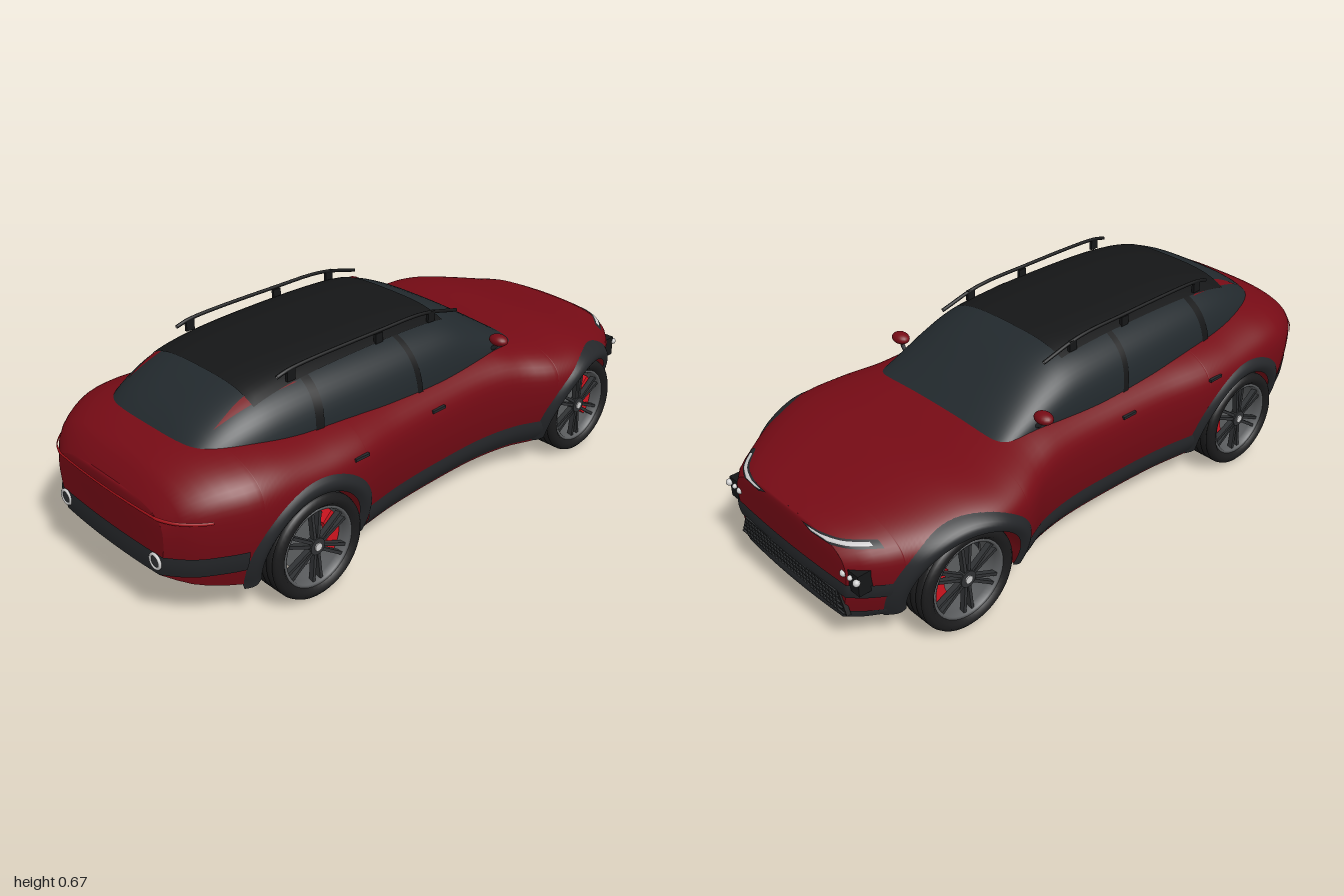
import * as THREE from 'three';

const mat = (color, side = THREE.DoubleSide) => new THREE.MeshStandardMaterial({ color, side });
const RED = mat(0x760b15), GLASS = mat(0x22292d), ROOF = mat(0x151617), TRIM = mat(0x25272a),
  TYRE = mat(0x1b1b1c), RIM = mat(0x5c5e60), DARK = mat(0x303234), SILVER = mat(0xcccccc),
  CALIPER = mat(0xd0141f), LAMP = mat(0xa01018);

// Smooth curve through [x, value] pairs
function curve(p) {
  const slope = i => {
    const a = p[Math.max(i - 1, 0)], b = p[Math.min(i + 1, p.length - 1)];
    return (b[1] - a[1]) / (b[0] - a[0]);
  };
  return x => {
    x = Math.min(Math.max(x, p[0][0]), p[p.length - 1][0]);
    let i = 0;
    while (i < p.length - 2 && x > p[i + 1][0]) i++;
    const h = p[i + 1][0] - p[i][0], t = (x - p[i][0]) / h, q = 1 - t;
    return p[i][1] * (1 + 2 * t) * q * q + p[i + 1][1] * t * t * (3 - 2 * t)
      + h * (slope(i) * t * q * q - slope(i + 1) * t * t * q);
  };
}

// Grid surface from a rule f(u, v) -> [x, y, z]; u may be a list of stations
function patch(us, nv, f) {
  if (typeof us === 'number') us = Array.from({ length: us + 1 }, (_, i) => i / us);
  const pos = [], idx = [], w = nv + 1;
  us.forEach((u, i) => {
    for (let j = 0; j <= nv; j++) {
      pos.push(...f(u, j / nv));
      if (i && j) {
        const a = (i - 1) * w + j - 1, b = i * w + j - 1;
        idx.push(a, b, a + 1, b, b + 1, a + 1);
      }
    }
  });
  const g = new THREE.BufferGeometry();
  g.setAttribute('position', new THREE.Float32BufferAttribute(pos, 3));
  g.setIndex(idx);
  g.computeVertexNormals();
  return g;
}

// Copy of a geometry reflected across z = 0
function mirrored(geo) {
  const g = geo.index ? geo.toNonIndexed() : geo.clone();
  g.scale(1, 1, -1);
  const n = g.attributes.position.count;
  g.setIndex(Array.from({ length: n }, (_, i) => i % 3 === 0 ? i : i % 3 === 1 ? i + 1 : i - 1));
  return g;
}

const END = 0.985, WY = 0.17, ARCH = 0.19, AXLES = [-0.566, 0.668];
const bodyW = curve([[-0.985, 0.26], [-0.95, 0.31], [-0.9, 0.355], [-0.78, 0.415], [-0.6, 0.43], [-0.4, 0.43],
  [-0.2, 0.4], [0, 0.387], [0.2, 0.387], [0.35, 0.412], [0.46, 0.457], [0.58, 0.475], [0.7, 0.455], [0.8, 0.415],
  [0.89, 0.36], [0.95, 0.315], [0.985, 0.275]]);
const deck = curve([[-0.985, 0.41], [-0.96, 0.455], [-0.85, 0.51], [-0.7, 0.525], [-0.5, 0.51], [0, 0.505],
  [0.28, 0.505], [0.42, 0.478], [0.52, 0.465], [0.66, 0.456], [0.8, 0.425], [0.9, 0.402], [0.96, 0.39], [0.985, 0.378]]);
const sill = curve([[-0.985, 0.185], [-0.9, 0.15], [-0.72, 0.115], [-0.5, 0.11], [0.85, 0.11], [0.985, 0.13]]);

// Body half width at height fraction s, and at (x, y)
const N = 2.9;
const profile = s => s > 0.6 ? Math.pow(Math.max(0, 1 - Math.pow((s - 0.6) / 0.4, N)), 1 / N)
  : 1 - 0.13 * Math.pow((0.6 - s) / 0.6, 1.8);
const sideZ = (x, y) => bodyW(x) * profile(Math.min(1, Math.max(0, (y - sill(x)) / (deck(x) - sill(x)))));

// Lower edge of the side panels, rising over the wheels
function lowerEdge(x) {
  for (const c of AXLES) {
    const d = Math.abs(x - c);
    if (d <= ARCH + 1e-6) return WY + Math.sqrt(Math.max(0, ARCH * ARCH - d * d));
  }
  return sill(x);
}

const CAB = 0.42, CN = 3.1;
const cabTop = curve([[-0.87, 0.48], [-0.8, 0.545], [-0.7, 0.602], [-0.6, 0.633], [-0.45, 0.65], [-0.2, 0.655],
  [0, 0.652], [0.14, 0.638], [0.24, 0.598], [0.34, 0.538], [0.44, 0.472]]);
const cabW = curve([[-0.87, 0.225], [-0.75, 0.275], [-0.6, 0.308], [-0.3, 0.328], [0, 0.332], [0.2, 0.325], [0.44, 0.31]]);
const cabZ = (x, y) => cabW(x) * Math.pow(Math.max(0, 1 - Math.pow((y - CAB) / (cabTop(x) - CAB), CN)), 1 / CN);
const cabY = (x, z) => CAB + (cabTop(x) - CAB) * Math.pow(Math.max(0, 1 - Math.pow(Math.abs(z) / cabW(x), CN)), 1 / CN);

export function createModel() {
  const root = new THREE.Group();
  const add = (name, geo, m, both = false) => {
    for (const g of both ? [geo, mirrored(geo)] : [geo]) {
      const mesh = new THREE.Mesh(g, m);
      mesh.name = both ? (g === geo ? 'left ' : 'right ') + name : name;
      root.add(mesh);
    }
  };
  const box = (w, h, d, x, y, z) => new THREE.BoxGeometry(w, h, d).translate(x, y, z);
  const tube = (pts, r, n = 24) =>
    new THREE.TubeGeometry(new THREE.CatmullRomCurve3(pts.map(p => new THREE.Vector3(...p))), n, r, 8);

  // Body shell: stations are denser at the wheel arches
  let xs = [];
  for (let i = 0; i <= 64; i++) xs.push(-END + 2 * END * i / 64);
  xs = xs.filter(x => AXLES.every(c => Math.abs(x - c) > ARCH + 0.004));
  for (const c of AXLES) {
    xs.push(c - ARCH - 0.002, c + ARCH + 0.002);
    for (let i = 0; i <= 28; i++) xs.push(c - ARCH * Math.cos(Math.PI * i / 28));
  }
  xs.sort((a, b) => a - b);
  const section = (x, v) => {
    const b = sill(x), h = deck(x) - b, s0 = (lowerEdge(x) - b) / h;
    const s = 1 - (1 - s0) * Math.pow(Math.abs(v), N);
    return [x, b + h * s, Math.sign(v) * bodyW(x) * profile(s)];
  };
  add('body shell', patch(xs, 56, (x, v) => section(x, v * 2 - 1)), RED);
  for (const e of [-1, 1])
    add(e > 0 ? 'nose panel' : 'tail panel', patch(24, 16, (u, v) => {
      const [, y, z] = section(e * END, u), w = v * 2 - 1;
      return [e * (END + 0.008 * (1 - w * w) * Math.sin(Math.PI * u)), y, z * w];
    }), RED);

  // Floor and wheel wells
  const inner = x => Math.min(0.28, bodyW(x) * 0.85);
  add('floor', patch(xs, 4, (x, v) => [x, sill(x), inner(x) * (v * 2 - 1)]), RED);
  add('wheel well roof', patch(xs, 2, (x, v) => {
    const y = lowerEdge(x);
    return [x, y, inner(x) + (sideZ(x, y) - inner(x)) * v];
  }), RED, true);
  add('wheel well wall', patch(xs, 2, (x, v) => [x, sill(x) + (lowerEdge(x) - sill(x)) * v, inner(x)]), TRIM, true);

  // Arch trims and rocker cladding hug the body side
  for (const c of AXLES)
    add('arch trim', patch(48, 8, (u, v) => {
      const a = -0.27 + u * (Math.PI + 0.54), r = 0.18 + 0.056 * v;
      const x = c + r * Math.cos(a), y = WY + r * Math.sin(a);
      return [x, y, sideZ(x, y) + 0.013 * Math.sin(Math.PI * v) - 0.002];
    }), TRIM, true);
  add('rocker cladding', patch(32, 6, (u, v) => {
    const x = -0.345 + u * 0.8, y = 0.115 + 0.085 * v;
    return [x, y, sideZ(x, y) + 0.001 + 0.009 * Math.sin(Math.PI * v)];
  }), TRIM, true);

  // Bands that run along the side and wrap round an end
  const band = (e, x0, y0, y1, off, stop = 1) => patch(40, 4, (u, v) => {
    const y = y0 + (y1 - y0) * v, k = u * (1 + stop), o = off * (0.6 + 0.4 * Math.sin(Math.PI * v));
    if (k <= 1) {
      const x = e * (x0 + (END - x0) * k);
      return [x + e * o * k, y, sideZ(x, y) + o];
    }
    const w = 2 - k;
    return [e * (END + o + 0.009 * (1 - w * w)), y, (sideZ(e * END, y) + o) * w];
  });
  add('front bumper cladding', band(1, 0.89, 0.2, 0.25, 0.005), TRIM, true);
  add('front lower lip', band(1, 0.89, 0.115, 0.14, 0.004), TRIM, true);
  add('headlight surround', band(1, 0.89, 0.357, 0.372, 0.003, 0.4), TRIM, true);
  add('headlight', band(1, 0.91, 0.362, 0.369, 0.005, 0.3), SILVER, true);
  add('rear bumper cladding', band(-1, 0.8, 0.19, 0.26, 0.006), TRIM, true);
  add('tail light', band(-1, 0.89, 0.372, 0.382, 0.006), LAMP, true);

  // Grille with a fine mesh
  const grille = new THREE.Shape([[-0.27, 0.135], [0.27, 0.135], [0.235, 0.212], [-0.235, 0.212]]
    .map(p => new THREE.Vector2(...p)));
  add('grille', new THREE.ExtrudeGeometry(grille, { depth: 0.014, bevelEnabled: false })
    .rotateY(Math.PI / 2).translate(0.977, 0, 0), ROOF);
  for (let i = 0; i < 5; i++)
    add('grille bar', box(0.006, 0.003, 0.525 - i * 0.016, 0.994, 0.142 + i * 0.016, 0), DARK);
  for (let i = -14; i <= 14; i++) add('grille slat', box(0.005, 0.07, 0.003, 0.994, 0.172, i * 0.0165), DARK);

  // Fog lamps in dark pockets
  add('fog lamp pocket', box(0.05, 0.07, 0.075, 0.955, 0.268, 0.288).rotateY(0), ROOF, true);
  for (let i = -1; i <= 1; i++)
    add('fog lamp', new THREE.SphereGeometry(i ? 0.011 : 0.008, 14, 10).translate(0.984, 0.284, 0.293 + i * 0.03), SILVER, true);
  // Rear round lamps
  add('rear lamp ring', new THREE.TorusGeometry(0.022, 0.005, 10, 28).rotateY(Math.PI / 2).translate(-0.994, 0.235, 0.225), SILVER, true);
  add('rear lamp', new THREE.CylinderGeometry(0.02, 0.02, 0.012, 24).rotateZ(Math.PI / 2).translate(-0.99, 0.235, 0.225), DARK, true);

  // Cabin glass, roof panel and pillars
  add('cabin glass', patch(Array.from({ length: 61 }, (_, i) => -0.87 + 1.31 * i / 60), 48, (x, t) => {
    const v = t * 2 - 1, y = CAB + (cabTop(x) - CAB) * (1 - Math.pow(Math.abs(v), CN));
    return [x, y, Math.sign(v) * cabZ(x, y)];
  }), GLASS);
  add('roof panel', patch(36, 24, (u, v) => {
    const x = -0.64 + 0.77 * u, z = (v * 2 - 1) * 0.24;
    return [x, cabY(x, z) + 0.003, z];
  }), ROOF);
  for (const [x0, lean, w] of [[-0.47, 0.02, 0.03], [-0.06, -0.02, 0.022]])
    add('door pillar', patch(2, 14, (u, v) => {
      const y = CAB + 0.02 + 0.185 * v, x = x0 + lean * v + (u - 0.5) * w;
      return [x, y, cabZ(x, y) + 0.003];
    }), ROOF, true);
  // Body-coloured arch above the rear side window
  add('rear roof edge', patch(20, 3, (u, v) => {
    const x = -0.76 + 0.28 * u, y = CAB + (cabTop(x) - CAB) * (0.84 + 0.07 * v * Math.sin(Math.PI * u));
    return [x, y, cabZ(x, y) + 0.003];
  }), RED, true);

  // Roof rails
  add('roof rail', tube([[-0.55, 0.645, 0.235], [-0.5, 0.656, 0.236], [-0.15, 0.661, 0.237], [0.05, 0.656, 0.236],
    [0.2, 0.622, 0.235]], 0.006, 40), ROOF, true);
  for (const x of [-0.5, -0.15, 0.08]) add('rail foot', box(0.03, 0.035, 0.01, x, 0.637, 0.236), ROOF, true);

  // Door mirrors and handles
  add('door mirror', new THREE.SphereGeometry(1, 20, 14).scale(0.026, 0.019, 0.034).translate(0.298, 0.518, 0.338), RED, true);
  add('mirror stalk', tube([[0.3, 0.47, 0.3], [0.3, 0.49, 0.325], [0.298, 0.51, 0.335]], 0.007, 8), TRIM, true);
  for (const x of [-0.4, -0.03])
    add('door handle', box(0.055, 0.009, 0.01, x, 0.405, sideZ(x, 0.405) + 0.002), TRIM, true);

  // Wheels: grooved tyre, rim, spokes, brake
  const tread = [[0.128, 0.415], [0.14, 0.428], [0.155, 0.428], [0.165, 0.42]];
  for (let i = 0; i < 4; i++) {
    const z = 0.405 - i * 0.025;
    tread.push([0.169, z + 0.004], [0.164, z + 0.002], [0.164, z - 0.002], [0.169, z - 0.004]);
  }
  tread.push([0.165, 0.311], [0.155, 0.302], [0.14, 0.302], [0.128, 0.312]);
  const lathe = (pts, c) => new THREE.LatheGeometry(pts.map(p => new THREE.Vector2(...p)), 56)
    .rotateX(Math.PI / 2).translate(c, WY, 0);
  const disc = (r, d, c, z, n = 36) => new THREE.CylinderGeometry(r, r, d, n).rotateX(Math.PI / 2).translate(c, WY, z);
  for (const c of AXLES) {
    add('tyre', lathe(tread, c), TYRE, true);
    add('rim', lathe([[0.129, 0.313], [0.118, 0.33], [0.116, 0.395], [0.121, 0.417], [0.129, 0.419], [0.131, 0.412]], c), RIM, true);
    add('brake disc', disc(0.092, 0.012, c, 0.355), RIM, true);
    add('axle', disc(0.035, 0.1, c, 0.31, 20), DARK, true);
    for (let i = 0; i < 6; i++) {
      const a = i * Math.PI / 3 + Math.PI / 6;
      for (const s of [-1, 1])
        add('spoke', box(0.1, 0.01, 0.018, 0.07, 0, 0).rotateZ(s * 0.09).translate(0, s * 0.004, 0)
          .rotateZ(a).translate(c, WY, 0.402), DARK, true);
    }
    add('hub', disc(0.027, 0.026, c, 0.402, 24), DARK, true);
    add('hub cap', disc(0.013, 0.03, c, 0.404, 20), SILVER, true);
    const pad = new THREE.Shape();
    pad.absarc(0, 0, 0.11, -0.75, 0.75, false);
    pad.absarc(0, 0, 0.065, 0.75, -0.75, true);
    add('brake caliper', new THREE.ExtrudeGeometry(pad, { depth: 0.04, bevelEnabled: false, curveSegments: 12 })
      .translate(c, WY, 0.345), CALIPER, true);
  }
  return root;
}
